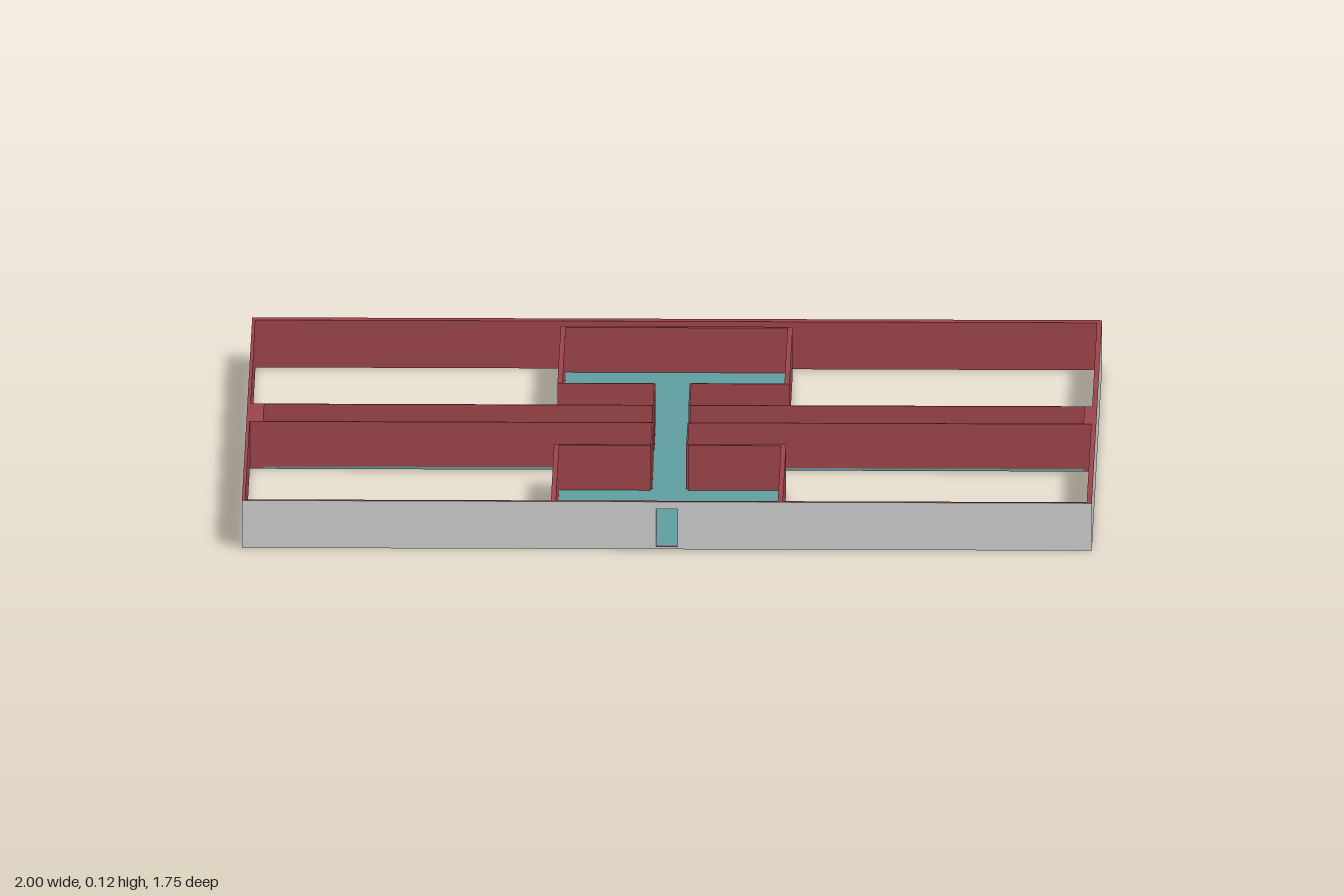
import * as THREE from 'three';

const H = 0.115; // wall height
const FLOOR = 0.006;

export function createModel() {
  const group = new THREE.Group();
  const grey = new THREE.MeshStandardMaterial({ color: 0xcccccc });
  const red = new THREE.MeshStandardMaterial({ color: 0x9c444a });
  const teal = new THREE.MeshStandardMaterial({ color: 0x5f9ea0 });

  // Axis-aligned slab; sides listed in greySides (+x, -x, +z, -z) and the underside are grey
  function slab(name, [x0, x1], [z0, z1], { y = [0, H], color = red, greySides = [] } = {}) {
    const geo = new THREE.BoxGeometry(x1 - x0, y[1] - y[0], z1 - z0);
    const mats = ['+x', '-x', '+y', '-y', '+z', '-z'].map(
      s => (s === '-y' && y[0] === 0) || greySides.includes(s) ? grey : color);
    const mesh = new THREE.Mesh(geo, mats);
    mesh.name = name;
    mesh.position.set((x0 + x1) / 2, (y[0] + y[1]) / 2, (z0 + z1) / 2);
    group.add(mesh);
  }
  const floor = (name, x, z) => slab(name, x, z, { y: [0, FLOOR], color: teal });

  // Outer perimeter, with a doorway through the front wall
  slab('backWall', [-1, 1], [-0.875, -0.85], { greySides: ['-z', '+x', '-x'] });
  slab('leftWall', [0.988, 1], [-0.85, 0.862], { greySides: ['+x'] });
  slab('rightWall', [-1, -0.992], [-0.85, 0.862], { greySides: ['-x'] });
  const front = [0.862, 0.872];
  slab('frontWallLeft', [0.025, 1], front, { greySides: ['+z', '+x'] });
  slab('frontWallRight', [-1, -0.025], front, { greySides: ['+z', '-x'] });
  slab('doorLintel', [-0.025, 0.025], front, { y: [0.098, H], greySides: ['+z'] });
  slab('doorSill', [-0.025, 0.025], front, { y: [0, FLOOR], greySides: ['+z'] });

  // Cross corridor: floor and thicker end walls
  const hall = [-0.053, 0.117];
  floor('corridorFloor', [-0.96, 0.97], hall);
  slab('corridorEndLeft', [0.97, 0.988], hall, { greySides: ['-z'] });
  slab('corridorEndRight', [-0.992, -0.96], hall, { greySides: ['-z'] });

  // Thin corridor walls, broken where the passages join
  const T = 0.004;
  const passage = [-0.046, 0.042];
  for (const z of [[hall[0], hall[0] + T], [hall[1] - T, hall[1]]]) {
    slab('corridorWallLeft', [passage[1], 0.97], z);
    slab('corridorWallRight', [-0.96, passage[0]], z);
  }

  // Two square rooms, each joined to the corridor by a narrow passage
  const rooms = [
    { name: 'backRoom', z: [-0.802, -0.257], link: [-0.257, hall[0]], inner: [-0.261, -0.257] },
    { name: 'frontRoom', z: [0.322, 0.862], link: [hall[1], 0.322], inner: [0.322, 0.334] },
  ];
  const R = 0.273;
  const W = 0.012;
  for (const { name, z, link, inner } of rooms) {
    floor(name + 'Floor', [-R, R], z);
    floor(name + 'PassageFloor', passage, link);
    slab(name + 'WallLeft', [R - W, R], z);
    slab(name + 'WallRight', [-R, -R + W], z);
    slab(name + 'InnerWallLeft', [passage[1], R - W], inner);
    slab(name + 'InnerWallRight', [-R + W, passage[0]], inner);
    slab(name + 'PassageWallLeft', [passage[1] - T, passage[1]], link);
    slab(name + 'PassageWallRight', [passage[0], passage[0] + T], link);
  }
  slab('backRoomEndWall', [-R + W, R - W], [-0.802, -0.79]);

  return group;
}
